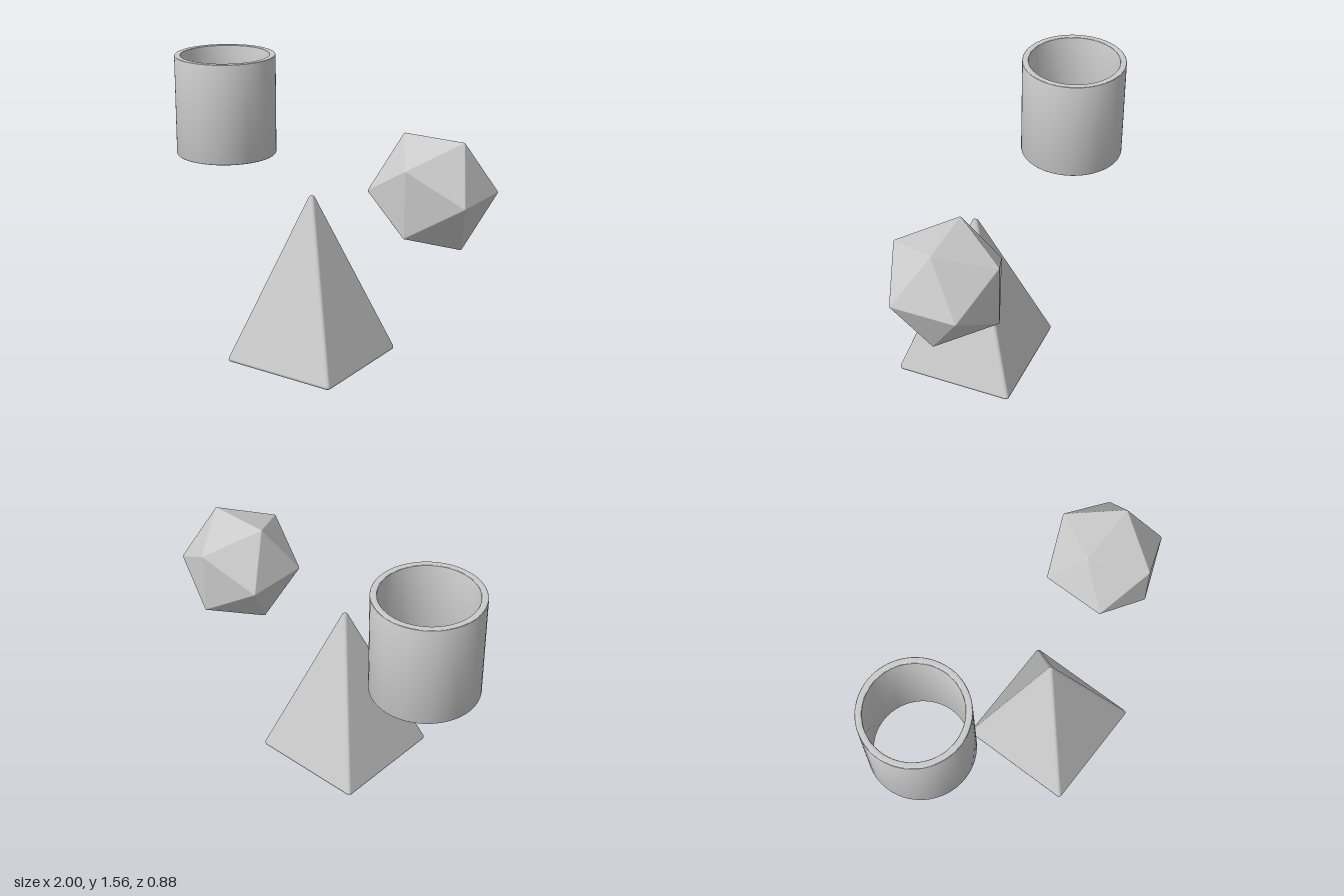
import * as THREE from 'three';
import { toCreasedNormals } from 'three/addons/utils/BufferGeometryUtils.js';
import { ConvexGeometry } from 'three/addons/geometries/ConvexGeometry.js';

// Convex solid with rounded edges: a small sphere patch sits on every corner,
// sampled at the adjoining face normals so the large faces stay exactly flat.
function roundedSolid(corners, r) {
  const hull = new ConvexGeometry(corners);
  const pos = hull.attributes.position;
  const points = [];
  for (const corner of corners) {
    const normals = [];
    const addUnique = (list, n) => {
      if (!list.some((m) => m.dot(n) > 0.9999)) list.push(n);
    };
    for (let i = 0; i < pos.count; i += 3) {
      const tri = [0, 1, 2].map((k) => new THREE.Vector3().fromBufferAttribute(pos, i + k));
      if (!tri.some((p) => p.distanceTo(corner) < 1e-4)) continue;
      addUnique(normals, new THREE.Triangle(...tri).getNormal(new THREE.Vector3()));
    }
    // face normals, the directions between them, and the corner direction
    const dirs = [...normals];
    const mean = new THREE.Vector3();
    normals.forEach((a, i) => {
      mean.add(a);
      normals.slice(i + 1).forEach((b) => addUnique(dirs, a.clone().add(b).normalize()));
    });
    addUnique(dirs, mean.normalize());
    for (const d of dirs) points.push(corner.clone().addScaledVector(d, r));
  }

  const geometry = new ConvexGeometry(points);
  const p = geometry.attributes.position;
  const v = new THREE.Vector3();
  for (let i = 0; i < p.count; i++) {
    v.fromBufferAttribute(p, i);
    const c = corners.reduce((a, b) => (v.distanceTo(a) < v.distanceTo(b) ? a : b));
    v.sub(c).normalize();
    geometry.attributes.normal.setXYZ(i, v.x, v.y, v.z);
  }
  return geometry;
}

// Open tube with softened rims, centred on its own origin
function tubeGeometry(outer, inner, height, bevel) {
  const h = height / 2;
  const profile = [];
  const rim = (x, y, start) => {
    for (let i = 0; i <= 3; i++) {
      const a = start + (i / 3) * (Math.PI / 2);
      profile.push(new THREE.Vector2(x + bevel * Math.cos(a), y + bevel * Math.sin(a)));
    }
  };
  rim(outer - bevel, -h + bevel, -Math.PI / 2);
  rim(outer - bevel, h - bevel, 0);
  rim(inner + bevel, h - bevel, Math.PI / 2);
  rim(inner + bevel, -h + bevel, Math.PI);
  profile.push(profile[0].clone());
  return toCreasedNormals(new THREE.LatheGeometry(profile, 72), 0.45);
}

export function createModel() {
  const model = new THREE.Group();
  const material = new THREE.MeshStandardMaterial({ color: 0xcccccc });
  const add = (name, geometry, x, y, z) => {
    const mesh = new THREE.Mesh(geometry, material);
    mesh.name = name;
    mesh.position.set(x, y, z);
    model.add(mesh);
  };

  // Floating hollow cylinder
  add('tube', tubeGeometry(0.285, 0.25, 0.57, 0.005), -0.715, 1.275, -0.155);

  // Square pyramid standing on the ground
  const r = 0.017;
  const half = 0.316;
  const pyramid = [new THREE.Vector3(0, 0.935 - r, 0)];
  for (const x of [-half, half]) {
    for (const z of [-half, half]) pyramid.push(new THREE.Vector3(x, r, z));
  }
  add('pyramid', roundedSolid(pyramid, r), 0.053, 0, 0.103);

  // Floating icosahedron: corners of three crossed golden rectangles
  const bevel = 0.01;
  const long = 0.285 - bevel;
  const short = long * 0.618034;
  const ico = [];
  for (const a of [-short, short]) {
    for (const b of [-long, long]) {
      ico.push(new THREE.Vector3(a, b, 0), new THREE.Vector3(0, a, b), new THREE.Vector3(b, 0, a));
    }
  }
  add('icosahedron', roundedSolid(ico, bevel), 0.713, 1.037, -0.033);

  return model;
}
